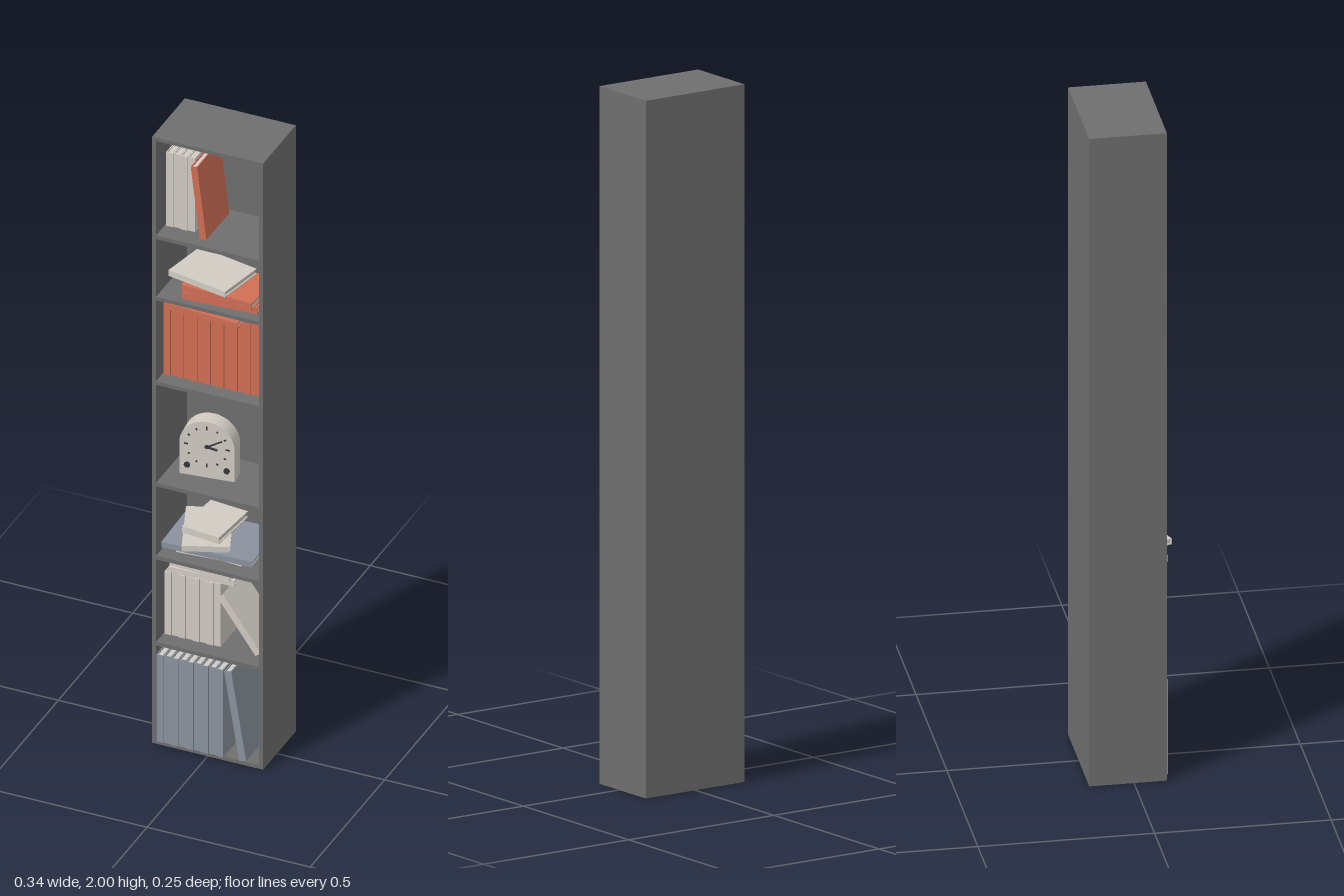
import * as THREE from 'three';

const mat = (name, color) => Object.assign(new THREE.MeshStandardMaterial({ color }), { name });

export function createModel() {
  const grey = mat('case grey', 0x6e6e6e);
  const cream = mat('cream', 0xd0ccc3);
  const red = mat('terracotta', 0xd06e55);
  const blue = mat('slate blue', 0x8a929d);
  const ink = mat('ink', 0x38383a);

  const model = new THREE.Group();
  model.name = 'bookcase';

  function box(parent, name, m, w, h, d, x, y, z) {
    const mesh = new THREE.Mesh(new THREE.BoxGeometry(w, h, d), m);
    mesh.name = name;
    mesh.position.set(x, y, z);
    parent.add(mesh);
    return mesh;
  }

  // Case: sides, back, top, bottom and shelves
  const W = 0.34, D = 0.22, T = 0.012, Z = -0.017;
  for (const s of [-1, 1]) box(model, 'sidePanel', grey, T, 2, D, s * (W - T) / 2, 1, Z);
  box(model, 'backPanel', grey, W - 2 * T, 2, T, 0, 1, Z - (D - T) / 2);
  const floors = [0.012, 0.336, 0.62, 0.861, 1.196, 1.475, 1.677, 2];
  for (const y of floors) box(model, 'shelf', grey, W - 2 * T, T, D - T, 0, y - T / 2, Z + T / 2);

  // Book standing on its base with the spine facing the front
  function book(m, h, t, d) {
    const g = new THREE.Group();
    g.name = 'book';
    const c = 0.003;
    for (const s of [-1, 1]) box(g, 'cover', m, c, h, d, s * (t - c) / 2, h / 2, 0);
    box(g, 'spine', m, t - 2 * c, h, c, 0, h / 2, (d - c) / 2);
    box(g, 'pages', cream, t - 2 * c, h - 0.008, d - 0.007, 0, h / 2, -0.0005);
    return g;
  }

  // Row of upright books between two x positions
  function row(m, n, x0, x1, y, h, d, front) {
    const step = (x1 - x0) / n;
    for (let i = 0; i < n; i++) {
      const b = book(m, h, step - 0.001, d);
      b.position.set(x0 + (i + 0.5) * step, y, front - d / 2 - 0.003 * (i % 2));
      model.add(b);
    }
  }

  // Book tipped to the side, its lower corner resting on the shelf
  function leaning(m, x, y, h, t, d, front, angle) {
    const b = book(m, h, t, d);
    b.rotation.z = angle;
    b.position.set(x, y + t / 2 * Math.sin(angle), front - d / 2);
    model.add(b);
  }

  // Book lying flat, turned about the vertical
  function lying(m, x, y, z, w, t, d, turn) {
    const b = book(m, w, t, d);
    b.rotation.z = Math.PI / 2;
    b.position.set(w / 2, t / 2, 0);
    const g = new THREE.Group();
    g.name = 'lyingBook';
    g.add(b);
    g.position.set(x, y, z);
    g.rotation.y = turn;
    model.add(g);
  }

  // Bottom compartment
  row(blue, 9, -0.155, 0.05, 0.012, 0.287, 0.195, 0.099);
  leaning(blue, 0.108, 0.012, 0.287, 0.022, 0.195, 0.095, 0.16);

  // Second compartment
  row(cream, 8, -0.155, 0.017, 0.336, 0.206, 0.14, 0.045);
  lying(cream, -0.045, 0.542, -0.03, 0.2, 0.017, 0.14, 0.02);
  lying(cream, -0.045, 0.56, -0.025, 0.19, 0.018, 0.13, -0.06);
  leaning(cream, 0.133, 0.336, 0.2, 0.021, 0.14, 0.045, 0.62);

  // Third compartment: loose stack
  lying(cream, -0.033, 0.62, -0.02, 0.175, 0.017, 0.13, 0.08);
  lying(cream, 0.013, 0.638, -0.005, 0.175, 0.02, 0.14, -0.08);
  lying(blue, -0.003, 0.659, 0.003, 0.275, 0.018, 0.19, 0.03);
  lying(cream, -0.04, 0.678, 0.004, 0.134, 0.018, 0.208, 0.37);
  lying(cream, -0.025, 0.697, -0.01, 0.12, 0.021, 0.16, -0.1);

  // Fifth compartment: full row with books on top
  row(red, 15, -0.155, 0.153, 1.196, 0.241, 0.16, 0.05);
  lying(red, -0.013, 1.438, 0.016, 0.225, 0.019, 0.155, -0.07);

  // Sixth compartment
  lying(red, 0.02, 1.475, -0.01, 0.225, 0.021, 0.155, 0.06);
  lying(red, 0.022, 1.497, 0, 0.22, 0.022, 0.15, -0.04);
  lying(cream, -0.032, 1.52, -0.01, 0.195, 0.019, 0.15, -0.2);

  // Top compartment
  row(cream, 4, -0.155, -0.066, 1.677, 0.242, 0.15, 0.035);
  leaning(red, -0.029, 1.677, 0.234, 0.02, 0.155, 0.06, 0.12);

  // Mantel clock with an arched body
  const clock = new THREE.Group();
  clock.name = 'clock';
  const R = 0.081, CY = 0.102, depth = 0.05;
  const arch = new THREE.Shape();
  arch.moveTo(-R, 0);
  arch.lineTo(R, 0);
  arch.lineTo(R, CY);
  arch.absarc(0, CY, R, 0, Math.PI, false);
  arch.closePath();
  const body = new THREE.Mesh(
    new THREE.ExtrudeGeometry(arch, { depth, bevelEnabled: false, curveSegments: 24 }), cream);
  body.name = 'clockBody';
  clock.add(body);

  // Hour marks
  for (let i = 0; i < 12; i++) {
    const a = i * Math.PI / 6;
    const mark = box(clock, 'hourMark', ink, 0.004, i % 3 ? 0.007 : 0.012, 0.002,
      Math.sin(a) * 0.061, CY + Math.cos(a) * 0.061, depth + 0.001);
    mark.rotation.z = -a;
  }
  // Hands, angle clockwise from twelve
  for (const [a, len, w] of [[1.05, 0.055, 0.004], [1.75, 0.034, 0.006]]) {
    const hand = box(clock, 'clockHand', ink, w, len, 0.003,
      Math.sin(a) * len * 0.42, CY + Math.cos(a) * len * 0.42, depth + 0.002);
    hand.rotation.z = -a;
  }
  // Centre pin and winding holes
  for (const [x, y, r] of [[0, CY, 0.006], [-0.058, 0.033, 0.009], [0.058, 0.033, 0.009]]) {
    const pin = new THREE.Mesh(new THREE.CylinderGeometry(r, r, 0.004, 16), ink);
    pin.name = 'clockPin';
    pin.rotation.x = Math.PI / 2;
    pin.position.set(x, y, depth + 0.002);
    clock.add(pin);
  }
  clock.position.set(-0.046, 0.861, -0.04);
  clock.rotation.y = 0.12;
  model.add(clock);

  return model;
}
